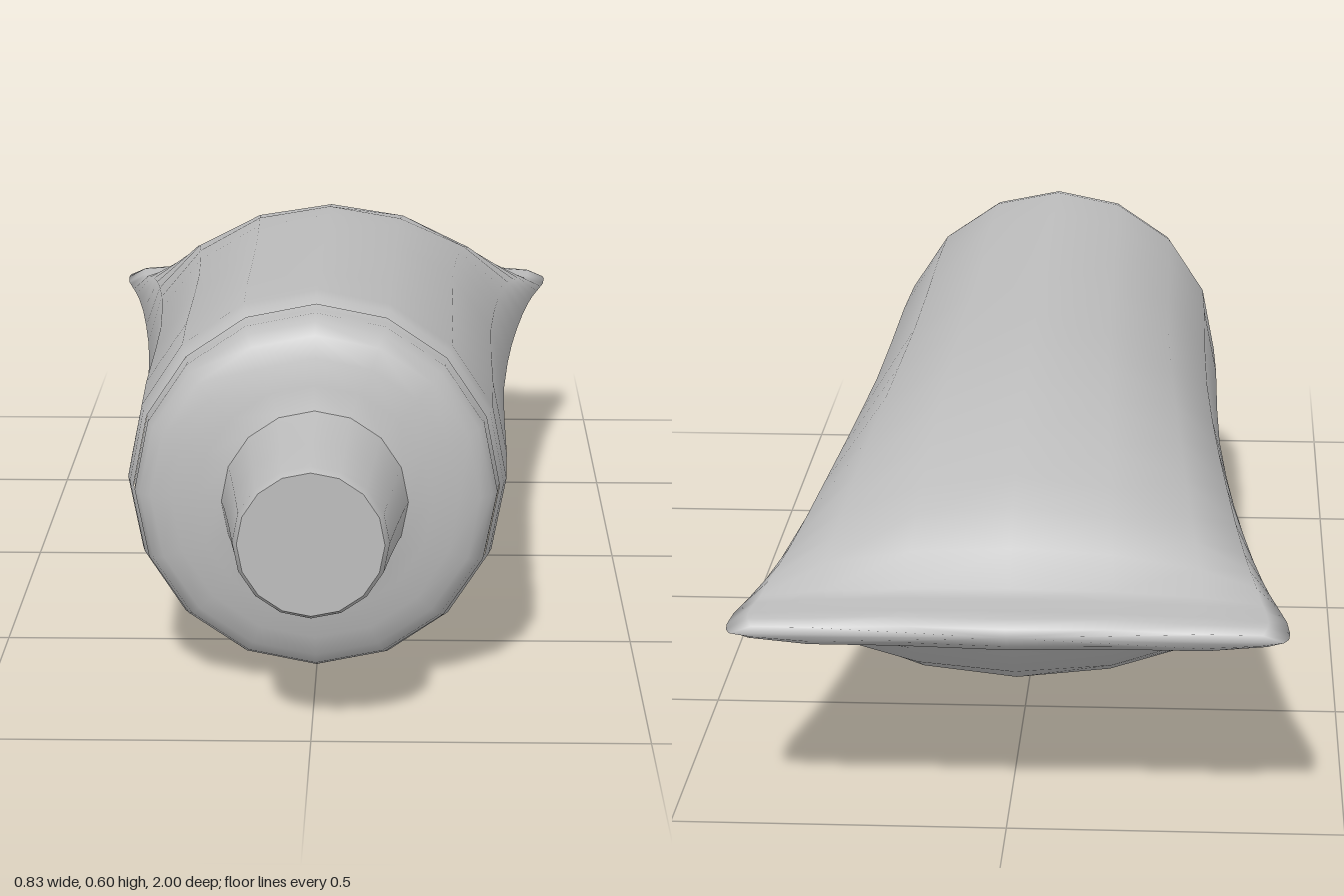
import * as THREE from 'three';

const SIDES = 16;
const CENTRE_Y = 0.3;

// Tube body sections, front to back: z, half width, half height, roundness power
// (1 = ellipse, above 1 = lens with pointed sides, below 1 = flat slab)
const SECTIONS = [
  [0.655, 0.283, 0.285, 1],
  [0.64, 0.29, 0.295, 1],
  [0.61, 0.295, 0.299, 1],
  [0.45, 0.3, 0.297, 1],
  [0.2, 0.303, 0.287, 1],
  [0.0, 0.308, 0.279, 1.02],
  [-0.2, 0.32, 0.268, 1.06],
  [-0.35, 0.332, 0.255, 1.12],
  [-0.5, 0.347, 0.232, 1.2],
  [-0.63, 0.362, 0.198, 1.28],
  [-0.73, 0.376, 0.162, 1.35],
  [-0.79, 0.386, 0.131, 1.35],
  [-0.84, 0.396, 0.085, 1.2],
  [-0.885, 0.405, 0.036, 0.8],
  [-0.91, 0.41, 0.028, 0.6],
  [-0.96, 0.414, 0.027, 0.5],
  [-0.985, 0.412, 0.024, 0.5],
  [-1.0, 0.405, 0.013, 0.5],
];

// Loft from a round front to the crimped, slightly wavy seam
function tubeGeometry() {
  const pos = [], idx = [];
  SECTIONS.forEach(([z, w, h, p], i) => {
    const wave = i >= SECTIONS.length - 2 ? 0.008 : 0;
    for (let j = 0; j < SIDES; j++) {
      const t = (j / SIDES) * Math.PI * 2;
      const s = Math.sin(t);
      const y = Math.abs(s) < 1e-6 ? 0 : Math.sign(s) * Math.pow(Math.abs(s), p) * h;
      pos.push(Math.cos(t) * w, y, z + (j % 2 ? wave : 0));
    }
  });
  for (let i = 0; i < SECTIONS.length - 1; i++) {
    for (let j = 0; j < SIDES; j++) {
      const k = (j + 1) % SIDES;
      const a = i * SIDES + j, b = i * SIDES + k;
      idx.push(a, a + SIDES, b, b, a + SIDES, b + SIDES);
    }
  }
  // close the seam end
  const last = (SECTIONS.length - 1) * SIDES, mid = pos.length / 3;
  pos.push(0, 0, -1);
  for (let j = 0; j < SIDES; j++) idx.push(mid, last + ((j + 1) % SIDES), last + j);
  const g = new THREE.BufferGeometry();
  g.setAttribute('position', new THREE.Float32BufferAttribute(pos, 3));
  g.setIndex(idx);
  g.computeVertexNormals();
  return g;
}

// Round part along z from [radius, z] pairs
function turned(points) {
  const g = new THREE.LatheGeometry(points.map(([r, z]) => new THREE.Vector2(r, z)), SIDES);
  return g.rotateX(Math.PI / 2);
}

export function createModel() {
  const model = new THREE.Group();
  model.name = 'squeezeTube';
  const grey = new THREE.MeshStandardMaterial({ color: 0xbcbcbc });
  grey.name = 'grey';

  const add = (name, geometry) => {
    const mesh = new THREE.Mesh(geometry, grey);
    mesh.name = name;
    mesh.position.y = CENTRE_Y;
    model.add(mesh);
    return mesh;
  };

  add('tubeBody', tubeGeometry());

  // Rounded shoulder with a shallow cone up to the neck
  add('shoulder', turned([
    [0.283, 0.645], [0.279, 0.665], [0.279, 0.69], [0.27, 0.712],
    [0.252, 0.728], [0.22, 0.741], [0.18, 0.749], [0.145, 0.757], [0.12, 0.765],
  ]));

  // Tapered cap with a slightly softened rim
  add('cap', turned([[0.143, 0.752], [0.137, 0.79], [0.125, 0.89], [0.115, 0.985], [0.108, 0.998]]));
  const end = add('capEnd', new THREE.CircleGeometry(0.108, SIDES));
  end.position.z = 0.998;

  return model;
}
